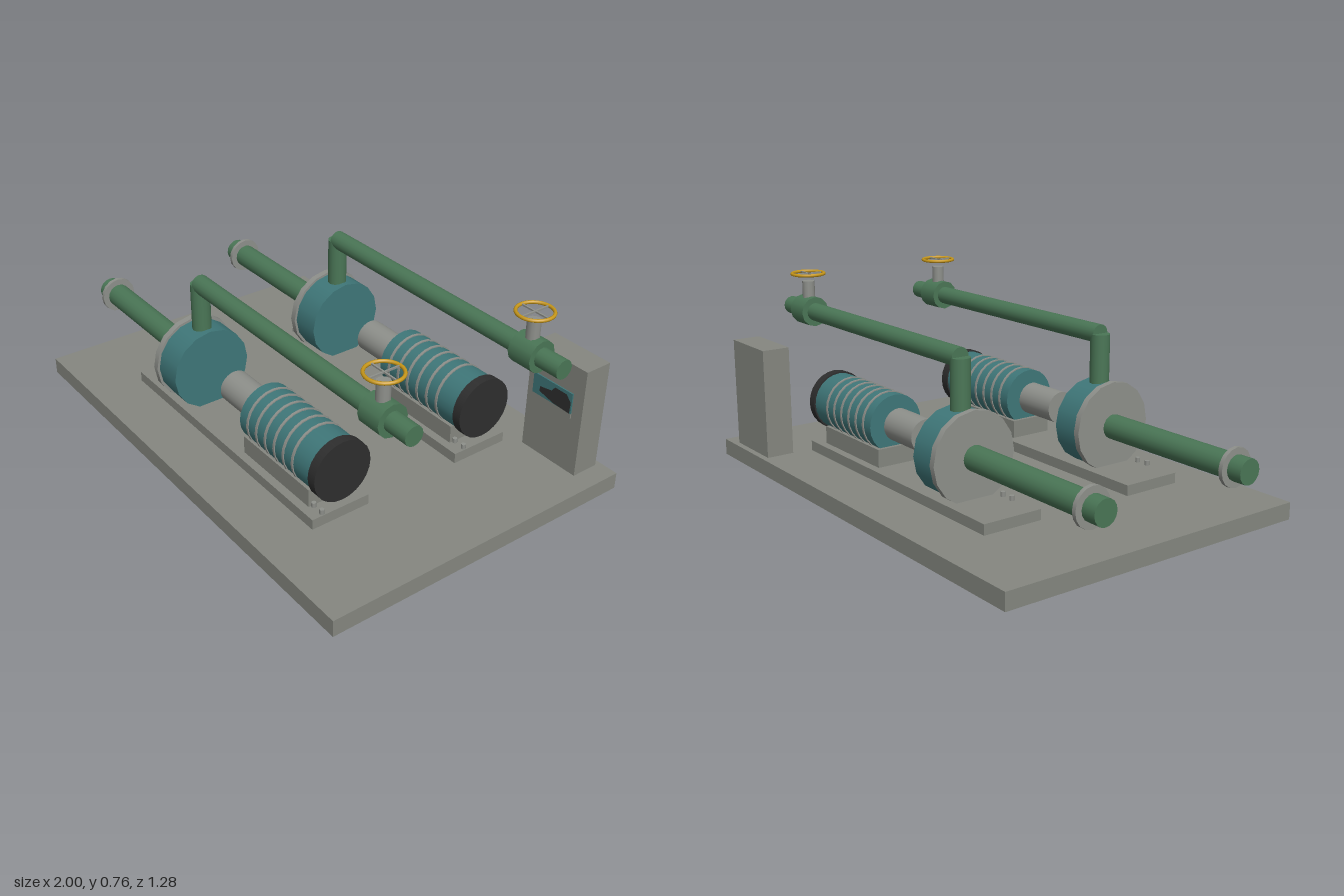
import * as THREE from 'three';

const mat = (name, color) => {
  const m = new THREE.MeshStandardMaterial({ color });
  m.name = name;
  return m;
};

export function createModel() {
  const concrete = mat('concreteGrey', 0x858780);
  const steel = mat('steelGrey', 0x8e908b);
  const teal = mat('tealPaint', 0x3f7779);
  const green = mat('pipeGreen', 0x4a7656);
  const black = mat('blackCover', 0x2e2e2e);
  const yellow = mat('wheelYellow', 0xc8981a);

  const model = new THREE.Group();
  model.name = 'twinPumpStation';

  const add = (parent, name, geometry, material, x = 0, y = 0, z = 0) => {
    const mesh = new THREE.Mesh(geometry, material);
    mesh.name = name;
    mesh.position.set(x, y, z);
    parent.add(mesh);
    return mesh;
  };
  // box given by its limits on each axis
  const box = (parent, name, material, x0, x1, y0, y1, z0, z1) =>
    add(parent, name, new THREE.BoxGeometry(x1 - x0, y1 - y0, z1 - z0), material,
      (x0 + x1) / 2, (y0 + y1) / 2, (z0 + z1) / 2);
  // cylinder lying along x
  const tubeX = (parent, name, material, x0, x1, y, r, sides = 24) =>
    add(parent, name, new THREE.CylinderGeometry(r, r, x1 - x0, sides).rotateZ(Math.PI / 2),
      material, (x0 + x1) / 2, y, 0);
  // upright cylinder
  const tubeY = (parent, name, material, x, y0, y1, r, z = 0, sides = 16) =>
    add(parent, name, new THREE.CylinderGeometry(r, r, y1 - y0, sides), material, x, (y0 + y1) / 2, z);

  box(model, 'basePlinth', concrete, -0.92, 1, 0, 0.065, -0.64, 0.64);

  function pumpSet(name, z) {
    const g = new THREE.Group();
    g.name = name;
    g.position.z = z;
    model.add(g);

    // skid, pedestal and bolts
    box(g, 'skid', concrete, -0.545, 0.62, 0.075, 0.115, -0.12, 0.12);
    box(g, 'motorPedestal', concrete, 0.16, 0.555, 0.115, 0.185, -0.088, 0.088);
    for (const x of [-0.437, -0.387, 0.572, 0.618])
      tubeY(g, 'anchorBolt', steel, x, 0.124, 0.142, 0.009, 0.079, 8);

    // pump casing and suction line
    tubeX(g, 'pumpCasing', teal, -0.305, -0.19, 0.264, 0.161, 16);
    tubeX(g, 'casingFlange', steel, -0.33, -0.305, 0.264, 0.171, 16);
    tubeX(g, 'suctionPipe', green, -1, -0.32, 0.264, 0.047, 16);
    tubeX(g, 'suctionFlange', steel, -0.942, -0.926, 0.264, 0.072, 16);

    // coupling guard and motor
    tubeX(g, 'couplingGuard', steel, -0.028, 0.156, 0.27, 0.063);
    tubeX(g, 'motorBody', teal, 0.175, 0.592, 0.27, 0.112);
    tubeX(g, 'fanCover', black, 0.59, 0.627, 0.27, 0.118);
    for (let i = 0; i < 6; i++) {
      const x = 0.225 + i * 0.054;
      tubeX(g, 'coolingFin', steel, x - 0.005, x + 0.005, 0.27, 0.116);
    }

    // discharge line
    tubeY(g, 'dischargeRiser', green, -0.248, 0.38, 0.605, 0.037);
    tubeX(g, 'dischargePipe', green, -0.248, 0.97, 0.604, 0.036, 16);

    // gate valve with handwheel
    tubeX(g, 'valveBody', green, 0.77, 0.87, 0.604, 0.06, 12);
    tubeY(g, 'valveBonnet', steel, 0.82, 0.64, 0.725, 0.025, 0, 12);
    add(g, 'handwheelRim', new THREE.TorusGeometry(0.065, 0.0065, 8, 28).rotateX(Math.PI / 2),
      yellow, 0.82, 0.755, 0);
    box(g, 'wheelSpokeAcross', steel, 0.755, 0.885, 0.752, 0.758, -0.003, 0.003);
    box(g, 'wheelSpokeAlong', steel, 0.817, 0.823, 0.752, 0.758, -0.065, 0.065);
  }
  pumpSet('frontPumpSet', 0.32);
  pumpSet('rearPumpSet', -0.32);

  // control cabinet with its display panel
  const cabinet = new THREE.Group();
  cabinet.name = 'controlCabinet';
  model.add(cabinet);
  box(cabinet, 'cabinetBody', concrete, 0.66, 0.92, 0.065, 0.5, -0.616, -0.504);
  box(cabinet, 'displayPanel', teal, 0.695, 0.88, 0.315, 0.397, -0.495, -0.49);
  box(cabinet, 'displaySill', concrete, 0.695, 0.88, 0.294, 0.315, -0.495, -0.49);
  const patch = new THREE.Shape([[0.73, 0.335], [0.8, 0.318], [0.875, 0.315], [0.877, 0.36],
    [0.855, 0.385], [0.8, 0.385], [0.785, 0.365], [0.73, 0.355]].map(p => new THREE.Vector2(...p)));
  add(cabinet, 'displayDarkArea', new THREE.ShapeGeometry(patch), black, 0, 0, -0.488);

  return model;
}
